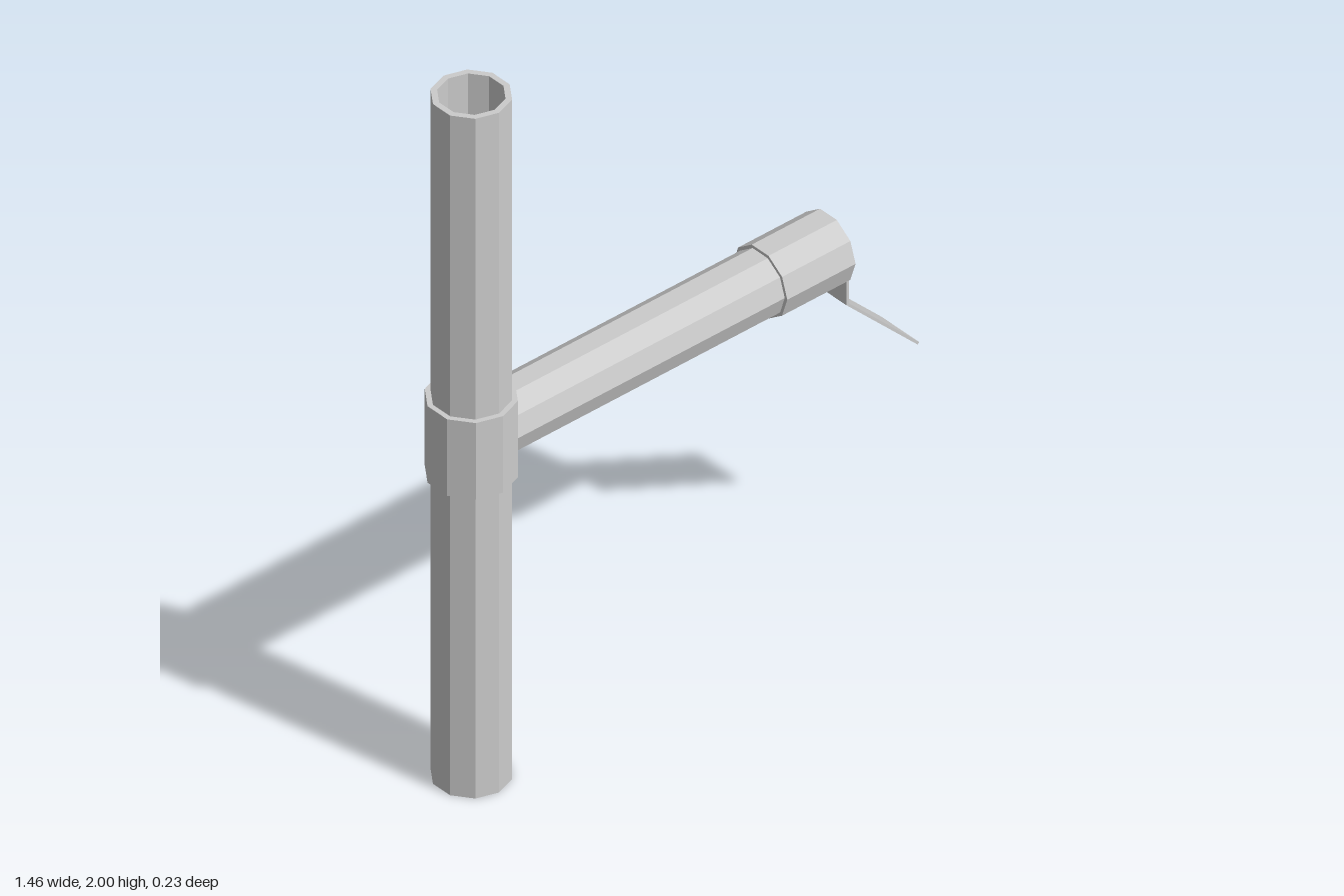
import * as THREE from 'three';

const SIDES = 10;

export function createModel() {
  const model = new THREE.Group();
  const material = new THREE.MeshStandardMaterial({ color: 0xcccccc, flatShading: true, side: THREE.DoubleSide });

  const add = (name, geometry) => {
    const mesh = new THREE.Mesh(geometry, material);
    mesh.name = name;
    model.add(mesh);
    return mesh;
  };
  // Ten-sided turned part from [radius, height] pairs
  const turned = (name, profile) =>
    add(name, new THREE.LatheGeometry(profile.map(([r, h]) => new THREE.Vector2(r, h)), SIDES));
  const shapeOf = (points) => new THREE.Shape(points.map(([x, y]) => new THREE.Vector2(x, y)));
  const extrude = (points, depth) =>
    new THREE.ExtrudeGeometry(shapeOf(points), { depth, bevelEnabled: false }).translate(0, 0, -depth / 2);

  // Upright pipe, hollow from both ends
  const pipeX = -0.625;
  turned('uprightPipe', [
    [0, 0.9], [0.083, 0.9], [0.083, 0], [0.099, 0],
    [0.099, 2], [0.083, 2], [0.083, 1.1], [0, 1.1],
  ]).position.x = pipeX;

  // Collar where the arm joins the pipe
  turned('collar', [[0.09, 0.89], [0.113, 0.89], [0.113, 1.115], [0.09, 1.115]]).position.x = pipeX;

  // Horizontal arm and the hollow sleeve on its end
  const armY = 1.002;
  const arm = turned('arm', [[0, -0.6], [0.088, -0.6], [0.088, 0.33], [0, 0.33]]);
  const sleeve = turned('endSleeve', [
    [0.08, 0.288], [0.097, 0.288], [0.097, 0.504], [0.081, 0.504], [0.081, 0.33],
  ]);
  for (const part of [arm, sleeve]) {
    part.rotation.z = -Math.PI / 2;
    part.position.y = armY;
  }

  // Bent flap: upright plate with clipped top corners, then a sloping tongue
  const halfWidth = 0.068;
  const plate = add('flapPlate', extrude([
    [-halfWidth, 0.865], [halfWidth, 0.865], [halfWidth, 1.04],
    [0.035, 1.075], [-0.035, 1.075], [-halfWidth, 1.04],
  ], 0.007));
  plate.rotation.y = Math.PI / 2;
  plate.position.x = 0.505;
  add('flapTongue', extrude([
    [0.5015, 0.865], [0.726, 0.64], [0.731, 0.645], [0.5085, 0.868],
  ], halfWidth * 2));

  return model;
}
